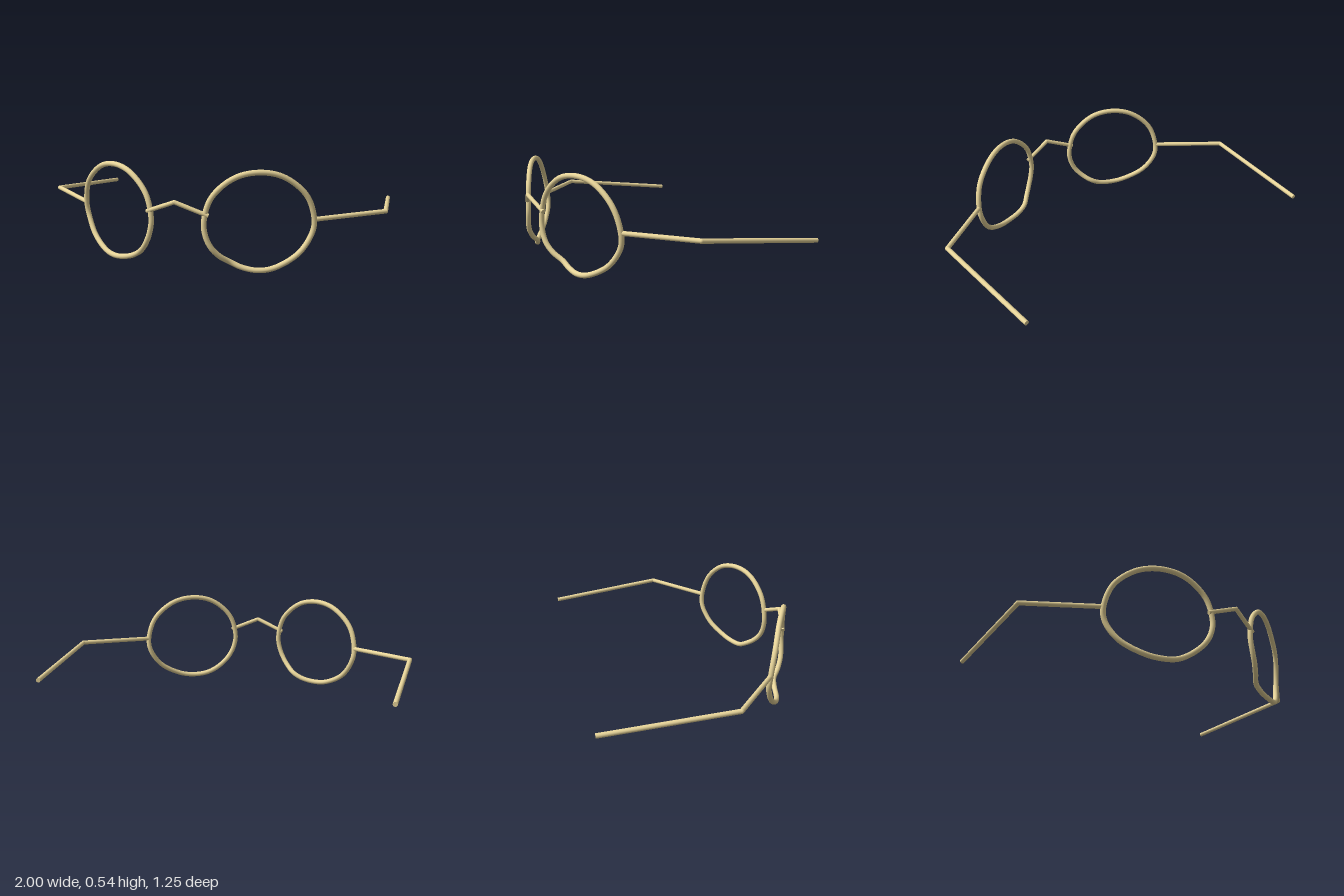
import * as THREE from 'three';

const metal = new THREE.MeshStandardMaterial({ color: 0xe8d59a });
const v = (x, y, z) => new THREE.Vector3(x, y, z);

// Rod through a few points: straight cylinders with round joints at the bends
function rod(name, points, radius) {
  const group = new THREE.Group();
  group.name = name;
  for (let i = 1; i < points.length; i++) {
    const dir = points[i].clone().sub(points[i - 1]);
    const bar = new THREE.Mesh(new THREE.CylinderGeometry(radius, radius, dir.length(), 16), metal);
    bar.name = name + 'Segment';
    bar.position.copy(points[i]).add(points[i - 1]).multiplyScalar(0.5);
    bar.quaternion.setFromUnitVectors(v(0, 1, 0), dir.normalize());
    group.add(bar);
    if (i < points.length - 1) {
      const joint = new THREE.Mesh(new THREE.SphereGeometry(radius, 16, 12), metal);
      joint.name = name + 'Joint';
      joint.position.copy(points[i]);
      group.add(joint);
    }
  }
  return group;
}

// Rim: a circle seen from the front, bent in depth; pairs are [angle from outer side, z]
const rimDepth = [
  [0, 0.319], [30, 0.35], [63, 0.407], [90, 0.468], [117, 0.522], [150, 0.562],
  [180, 0.575], [197, 0.574], [211, 0.562], [224, 0.535], [237, 0.496], [251, 0.48],
  [270, 0.461], [288, 0.427], [317, 0.357], [343, 0.317],
];

function rim(name, side) {
  const points = rimDepth.map(([deg, z]) => {
    const a = THREE.MathUtils.degToRad(deg);
    return v(side * (0.4 + 0.256 * Math.cos(a)), 0.271 + 0.256 * Math.sin(a), z);
  });
  const curve = new THREE.CatmullRomCurve3(points, true, 'centripetal');
  const mesh = new THREE.Mesh(new THREE.TubeGeometry(curve, 160, 0.0145, 16, true), metal);
  mesh.name = name;
  return mesh;
}

export function createModel() {
  const model = new THREE.Group();
  model.name = 'eyeglasses';

  for (const [label, side] of [['left', 1], ['right', -1]]) {
    model.add(rim(label + 'Rim', side));
    // Hinge piece running outward, then the temple arm running back
    model.add(rod(label + 'Temple', [
      v(side * 0.655, 0.272, 0.318), v(side * 0.987, 0.282, 0.053), v(side * 0.933, 0.215, -0.622),
    ], 0.0125));
  }

  // Peaked nose bridge, its ends passing just through the rims
  model.add(rod('bridge', [v(-0.168, 0.31, 0.573), v(0, 0.377, 0.612), v(0.168, 0.31, 0.573)], 0.0115));

  return model;
}
